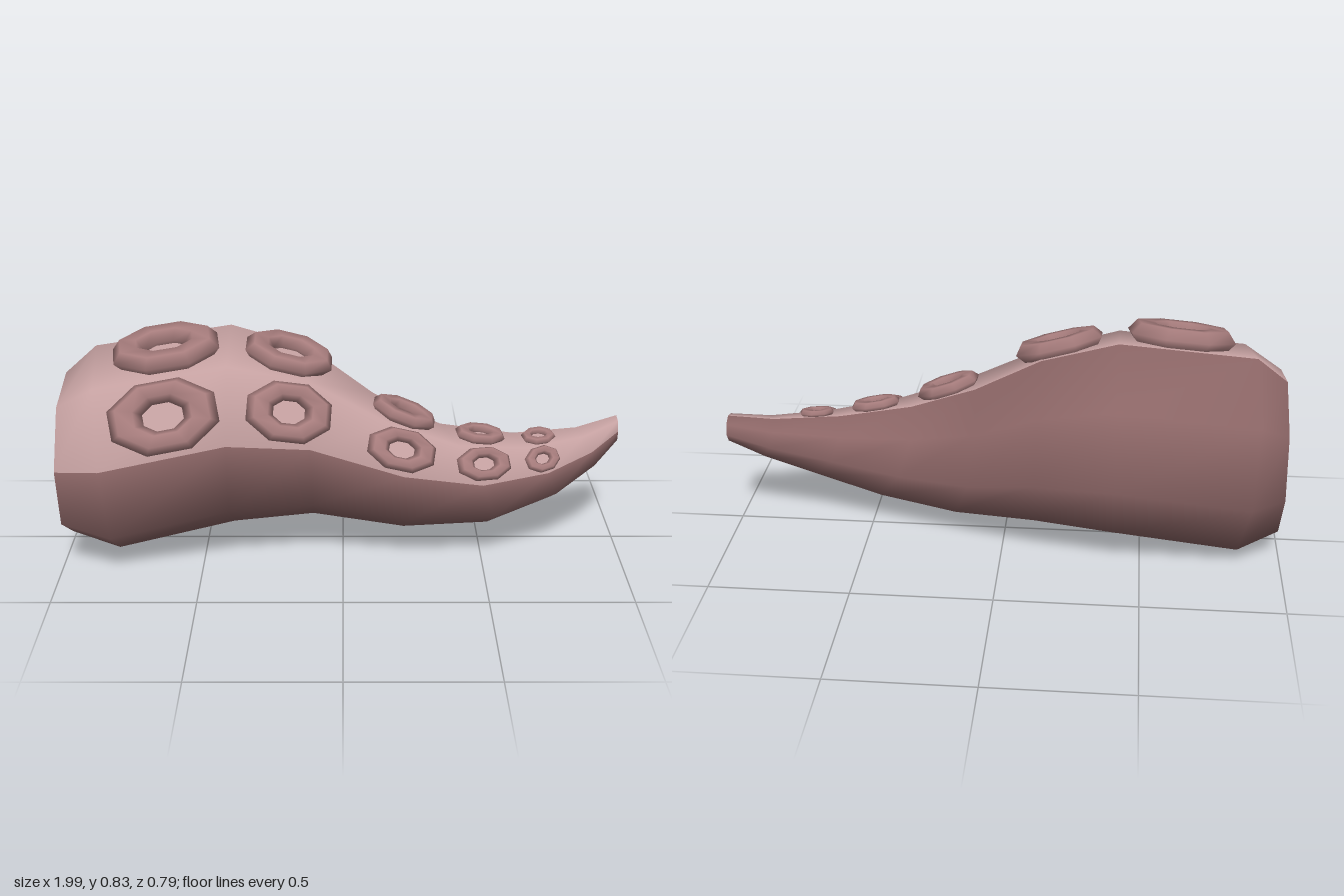
import * as THREE from 'three';

const SIDES = 8;
const OFFSET = THREE.MathUtils.degToRad(10);

// Cross-sections from base to tip: centre x, y, z, radius, x-lean per unit y, x-lean per unit z
const RINGS = [
  [-0.99, 0.36, 0.03, 0.295, 0, 0],
  [-0.85, 0.375, 0.02, 0.375, -0.07, 0.07],
  [-0.40, 0.445, -0.035, 0.365, 0, 0],
  [-0.12, 0.42, -0.035, 0.312, -0.03, 0.03],
  [0.165, 0.33, 0.03, 0.248, -0.19, 0.22],
  [0.435, 0.295, 0.065, 0.183, -0.42, 0.38],
  [0.68, 0.315, 0.04, 0.12, -0.5, 0.5],
  [0.875, 0.36, -0.015, 0.076, -0.34, 0.33],
  [1.0, 0.415, -0.065, 0.05, 0, 0],
];

// Corner j of ring i, turning from the top towards the back
function corner(i, j) {
  const [x, y, z, r, leanY, leanZ] = RINGS[i];
  const angle = OFFSET + (j * Math.PI * 2) / SIDES;
  const dy = r * Math.cos(angle), dz = -r * Math.sin(angle);
  return new THREE.Vector3(x + leanY * dy + leanZ * dz, y + dy, z + dz);
}

// Quads covering the columns first..last of the tentacle
function columns(first, last) {
  const index = [];
  const id = (i, j) => i * SIDES + (j % SIDES);
  for (let i = 0; i < RINGS.length - 1; i++) {
    for (let j = first; j <= last; j++) {
      index.push(id(i, j), id(i + 1, j), id(i + 1, j + 1));
      index.push(id(i, j), id(i + 1, j + 1), id(i, j + 1));
    }
  }
  return index;
}

// Flat end closing ring i
function capGeometry(i, reverse) {
  const points = [];
  for (let j = 1; j < SIDES - 1; j++) {
    const order = reverse ? [0, j + 1, j] : [0, j, j + 1];
    order.forEach((k) => points.push(corner(i, k)));
  }
  const geometry = new THREE.BufferGeometry().setFromPoints(points);
  geometry.computeVertexNormals();
  return geometry;
}

// Frame on the middle of column j at a given x: x axis along the arm, z axis outwards
function surfaceFrame(x, j) {
  const mid = (i) => corner(i, j).add(corner(i, j + 1)).multiplyScalar(0.5);
  let i = 0;
  while (i < RINGS.length - 2 && mid(i + 1).x < x) i++;
  const a = mid(i), b = mid(i + 1);
  const along = b.clone().sub(a).normalize();
  const across = corner(i, j + 1).sub(corner(i, j)).add(corner(i + 1, j + 1)).sub(corner(i + 1, j));
  const normal = along.clone().cross(across).normalize();
  const side = normal.clone().cross(along);
  const position = a.lerp(b, (x - a.x) / (b.x - a.x));
  return { position, normal, matrix: new THREE.Matrix4().makeBasis(along, side, normal) };
}

export function createModel() {
  const model = new THREE.Group();
  const skin = new THREE.MeshStandardMaterial({ color: 0x8c6666 });
  const pale = new THREE.MeshStandardMaterial({ color: 0xc4a0a0 });
  const suckerColor = new THREE.MeshStandardMaterial({ color: 0xa67c7c });

  const add = (parent, name, geometry, material) => {
    const mesh = new THREE.Mesh(geometry, material);
    mesh.name = name;
    parent.add(mesh);
    return mesh;
  };

  // Body: shared smooth normals, split into dark skin and pale sucker strip
  const points = [];
  RINGS.forEach((_, i) => {
    for (let j = 0; j < SIDES; j++) points.push(corner(i, j));
  });
  const body = new THREE.BufferGeometry().setFromPoints(points);
  body.setIndex(columns(0, SIDES - 1));
  body.computeVertexNormals();
  const patch = (first, last) => body.clone().setIndex(columns(first, last));
  add(model, 'tentacleSkin', patch(0, 5), skin);
  add(model, 'suckerStrip', patch(6, 7), pale);
  add(model, 'baseCap', capGeometry(0, false), skin);
  add(model, 'tipCap', capGeometry(RINGS.length - 1, true), pale);

  // Suckers: oval eight-sided rings with a pale hollow, in two rows
  const rim = new THREE.TorusGeometry(0.74, 0.34, 6, 8).rotateZ(Math.PI / 8);
  const hollow = new THREE.CircleGeometry(0.75, 8).rotateZ(Math.PI / 8);
  // x position, half length, half width
  const rows = {
    lower: [[-0.61, 0.185, 0.125], [-0.19, 0.148, 0.105], [0.2, 0.12, 0.075], [0.49, 0.098, 0.06], [0.705, 0.066, 0.046]],
    upper: [[-0.615, 0.185, 0.125], [-0.195, 0.155, 0.108], [0.21, 0.115, 0.075], [0.485, 0.087, 0.055], [0.7, 0.06, 0.045]],
  };
  for (const [row, suckers] of Object.entries(rows)) {
    suckers.forEach(([x, length, width], n) => {
      const { position, normal, matrix } = surfaceFrame(x, row === 'lower' ? 6 : 7);
      const sucker = new THREE.Group();
      sucker.name = `${row}Sucker${n + 1}`;
      sucker.position.copy(position).addScaledVector(normal, length * 0.15);
      sucker.quaternion.setFromRotationMatrix(matrix);
      sucker.scale.set(length, width, length * 0.7);
      add(sucker, 'suckerRim', rim, suckerColor);
      add(sucker, 'suckerHollow', hollow, pale).position.z = -0.12;
      model.add(sucker);
    });
  }
  return model;
}
